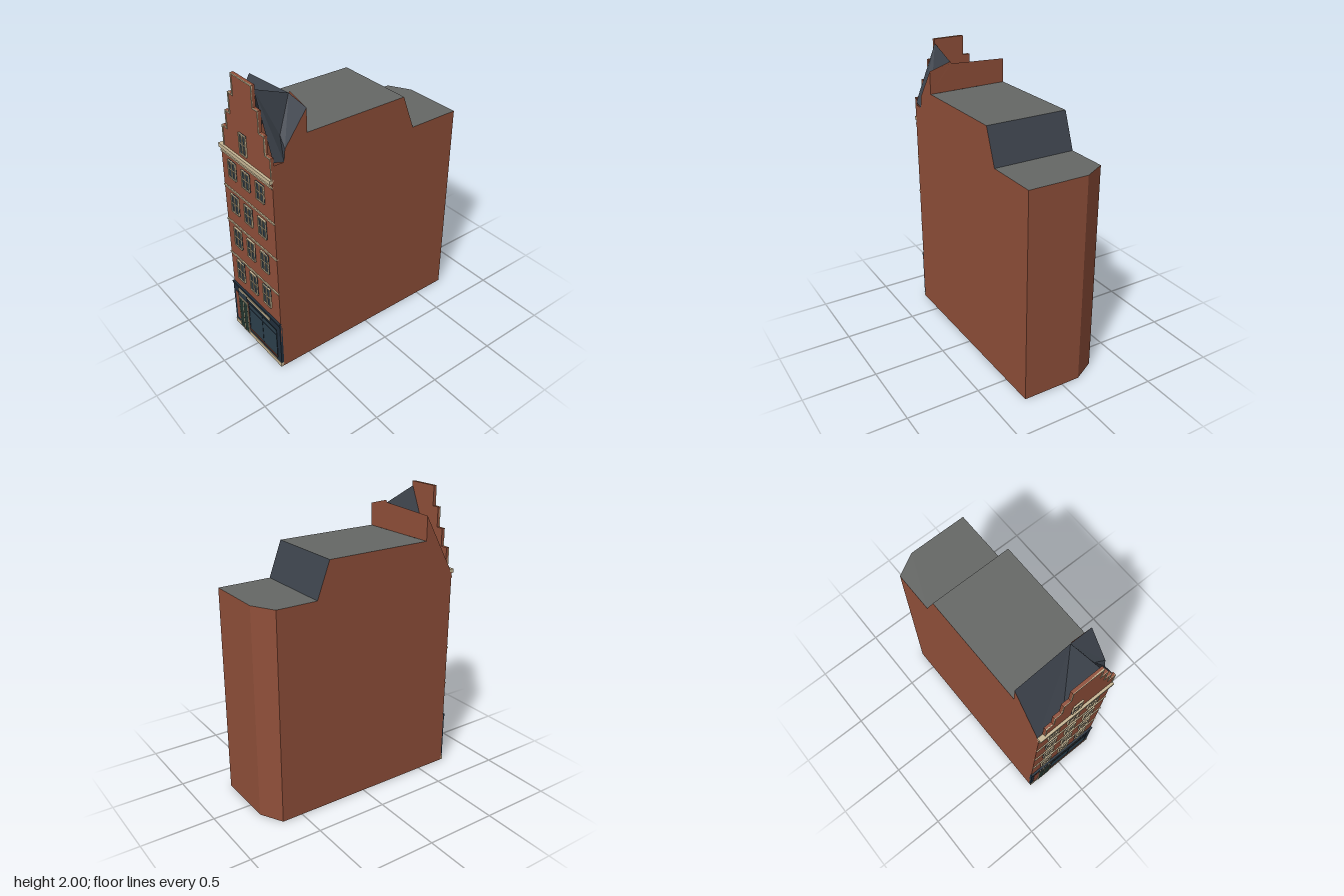
import * as THREE from 'three';

const mat = (color) => new THREE.MeshStandardMaterial({ color, flatShading: true, side: THREE.DoubleSide });
const M = {
  brick: mat(0x91503a), slate: mat(0x3c424b), flat: mat(0x666866), cream: mat(0xc9b896),
  glass: mat(0x2c3b46), navy: mat(0x22303d), green: mat(0x23362f), shopGlass: mat(0x2d414d), rust: mat(0x8a4a38),
};
const X = 0.285, FRONT = 0.715;

function add(parent, name, geometry, material) {
  const mesh = new THREE.Mesh(geometry, material);
  mesh.name = name;
  parent.add(mesh);
  return mesh;
}

// Box from its min and max corners
function box(parent, name, material, x0, x1, y0, y1, z0, z1) {
  const g = new THREE.BoxGeometry(x1 - x0, y1 - y0, z1 - z0);
  g.translate((x0 + x1) / 2, (y0 + y1) / 2, (z0 + z1) / 2);
  return add(parent, name, g, material);
}

// Flat convex face, corners counter-clockwise seen from outside
function face(parent, name, material, ...pts) {
  const pos = [];
  for (let i = 1; i < pts.length - 1; i++) pos.push(...pts[0], ...pts[i], ...pts[i + 1]);
  const g = new THREE.BufferGeometry();
  g.setAttribute('position', new THREE.Float32BufferAttribute(pos, 3));
  g.computeVertexNormals();
  return add(parent, name, g, material);
}

// Side wall from a [z, y] outline; side is +1 or -1
function sideWall(parent, name, side, outline) {
  const shape = new THREE.Shape(outline.map(([z, y]) => new THREE.Vector2(-side * z, y)));
  const g = new THREE.ShapeGeometry(shape);
  g.rotateY(side * Math.PI / 2).translate(side * X, 0, 0);
  return add(parent, name, g, M.brick);
}

// Framed window with one mullion and one crossbar
function windowUnit(parent, cx, y0, y1, w) {
  const g = new THREE.Group();
  g.name = 'window';
  parent.add(g);
  const a = cx - w / 2, b = cx + w / 2, t = 0.007, my = y0 + (y1 - y0) * 0.52;
  box(g, 'windowPane', M.glass, a, b, y0, y1, FRONT - 0.01, FRONT + 0.006);
  const bar = (x0, x1, ya, yb) => box(g, 'windowFrame', M.cream, x0, x1, ya, yb, FRONT - 0.005, FRONT + 0.012);
  bar(a, a + t, y0, y1);
  bar(b - t, b, y0, y1);
  bar(a, b, y0, y0 + t);
  bar(a, b, y1 - t, y1);
  bar(cx - 0.005, cx + 0.005, y0, y1);
  bar(a, b, my - 0.002, my + 0.002);
}

export function createModel() {
  const root = new THREE.Group();
  root.name = 'townhouse';

  // Brick walls, with one clipped rear corner
  const body = new THREE.Group();
  body.name = 'body';
  root.add(body);
  const LOW = 1.455, HIGH = 1.695;
  sideWall(body, 'leftWall', 1, [[-0.73, 0], [FRONT, 0], [FRONT, 1.47], [0.7, 1.56], [0.63, 1.56],
    [0.62, 1.64], [0.465, 1.85], [0.465, HIGH], [-0.27, HIGH], [-0.36, LOW], [-0.73, LOW]]);
  sideWall(body, 'rightWall', -1, [[-0.645, 0], [FRONT, 0], [FRONT, 1.47], [0.7, 1.47],
    [0.48, 1.86], [0.48, HIGH], [-0.27, HIGH], [-0.36, LOW], [-0.645, LOW]]);
  face(body, 'frontWall', M.brick, [-X, 0, FRONT], [X, 0, FRONT], [X, 1.47, FRONT], [-X, 1.47, FRONT]);
  face(body, 'backWall', M.brick, [X, 0, -0.73], [-0.13, 0, -0.73], [-0.13, LOW, -0.73], [X, LOW, -0.73]);
  face(body, 'clippedCorner', M.brick, [-0.13, 0, -0.73], [-X, 0, -0.645], [-X, LOW, -0.645], [-0.13, LOW, -0.73]);
  face(body, 'underside', M.brick, [-X, 0, -0.645], [-0.13, 0, -0.73], [X, 0, -0.73], [X, 0, FRONT], [-X, 0, FRONT]);

  // Flat rear roofs and the sloped step between them
  const roof = new THREE.Group();
  roof.name = 'roof';
  root.add(roof);
  face(roof, 'lowerFlatRoof', M.flat, [-X, LOW, -0.36], [X, LOW, -0.36], [X, LOW, -0.73], [-0.13, LOW, -0.73], [-X, LOW, -0.645]);
  face(roof, 'roofStep', M.slate, [X, LOW, -0.36], [-X, LOW, -0.36], [-X, HIGH, -0.27], [X, HIGH, -0.27]);
  face(roof, 'upperFlatRoof', M.flat, [-X, HIGH, 0.48], [X, HIGH, 0.465], [X, HIGH, -0.27], [-X, HIGH, -0.27]);

  // Front attic: rear brick wall, main slopes and the cross roof behind the gable
  const apex = [0.12, 1.88, 0.47], ridge = [0.125, 1.97, 0.7], valley = [0.21, 1.69, 0.6];
  face(roof, 'atticBackWall', M.brick, [0.12, HIGH, 0.47], [-X, HIGH, 0.48], [-X, 1.86, 0.48], apex);
  face(roof, 'atticBackWall', M.brick, [X, HIGH, 0.465], [0.12, HIGH, 0.47], apex, [0.13, 1.895, 0.47], [X, 1.85, 0.465]);
  face(roof, 'rightFrontSlope', M.slate, [-X, 1.47, 0.7], [-0.09, 1.49, 0.695], apex, [-X, 1.86, 0.48]);
  face(roof, 'crossRoofRight', M.slate, apex, [-0.09, 1.49, 0.695], ridge);
  face(roof, 'crossRoofLeft', M.slate, ridge, [X, 1.58, 0.7], [X, 1.56, 0.63], valley, apex);
  face(roof, 'leftFrontSlope', M.slate, apex, valley, [X, 1.64, 0.62], [X, 1.85, 0.465]);
  face(roof, 'leftSlopeEave', M.slate, valley, [X, 1.56, 0.63], [X, 1.64, 0.62]);

  // Stepped gable with pale edging
  const gable = new THREE.Group();
  gable.name = 'gable';
  root.add(gable);
  const C = 0.02, levels = [1.46, 1.61, 1.73, 1.865, 2.0], halves = [0.263, 0.21, 0.16, 0.11];
  const right = [], left = [];
  halves.forEach((h, i) => {
    right.push(new THREE.Vector2(C + h, levels[i]), new THREE.Vector2(C + h, levels[i + 1]));
    left.unshift(new THREE.Vector2(C - h, levels[i + 1]), new THREE.Vector2(C - h, levels[i]));
  });
  const wall = new THREE.ExtrudeGeometry(new THREE.Shape([...right, ...left]), { depth: 0.02, bevelEnabled: false });
  add(gable, 'gableWall', wall.translate(0, 0, 0.696), M.brick);
  const e = 0.008;
  halves.forEach((h, i) => {
    const inner = i < 3 ? halves[i + 1] : 0;
    for (const s of [-1, 1]) {
      const strip = (a, b, y0, y1) => box(gable, 'gableEdging', M.cream,
        C + Math.min(s * a, s * b), C + Math.max(s * a, s * b), y0, y1, 0.712, 0.72);
      strip(h - e, h, levels[i], levels[i + 1]);
      strip(inner - (i < 3 ? e : 0), h, levels[i + 1] - e, levels[i + 1]);
    }
  });

  // Cornice and string courses
  const facade = new THREE.Group();
  facade.name = 'facade';
  root.add(facade);
  box(facade, 'cornice', M.cream, -X, X, 1.443, 1.47, 0.7, 0.733);
  for (const y of [1.417, 1.165, 0.9, 0.626])
    box(facade, 'stringCourse', M.cream, -X, X, y - 0.006, y + 0.006, 0.705, 0.722);

  // Windows: four storeys of three, and one in the gable
  for (const [y0, y1] of [[0.45, 0.605], [0.73, 0.875], [1.0, 1.135], [1.26, 1.385]])
    for (const x of [-0.163, -0.007, 0.15]) windowUnit(facade, x, y0, y1, 0.085);
  windowUnit(facade, -0.007, 1.5, 1.642, 0.074);

  // Shopfront
  const shop = new THREE.Group();
  shop.name = 'shopfront';
  root.add(shop);
  box(shop, 'plinth', M.cream, -X, X, 0, 0.032, 0.705, 0.728);
  box(shop, 'shopSurround', M.navy, -X, X, 0.032, 0.375, 0.705, 0.724);
  box(shop, 'shopCornice', M.navy, -X, X, 0.36, 0.375, 0.705, 0.73);
  box(shop, 'brickPanel', M.rust, -0.26, -0.095, 0.055, 0.3, 0.71, 0.726);
  box(shop, 'signBoard', M.cream, -0.18, 0.17, 0.327, 0.349, 0.71, 0.729);
  box(shop, 'shopWindow', M.shopGlass, -0.09, 0.245, 0.065, 0.3, 0.71, 0.7255);
  box(shop, 'shopSill', M.rust, -0.1, 0.245, 0.055, 0.063, 0.71, 0.729);
  for (const x of [-0.094, 0.075, 0.243])
    box(shop, 'shopMullion', M.navy, x - 0.002, x + 0.002, 0.063, 0.3, 0.71, 0.7275);
  for (const y of [0.255, 0.3])
    box(shop, 'shopTransom', M.navy, -0.094, 0.245, y - 0.002, y + 0.002, 0.71, 0.7275);

  // Double door with a light above it
  box(shop, 'door', M.green, -0.21, -0.11, 0.01, 0.28, 0.71, 0.73);
  box(shop, 'doorLight', M.glass, -0.215, -0.107, 0.285, 0.345, 0.71, 0.731);
  for (const x of [-0.212, -0.161, -0.11])
    box(shop, 'doorFrame', M.cream, x - 0.003, x + 0.003, 0.01, 0.285, 0.71, 0.732);
  for (const y of [0.012, 0.279, 0.289, 0.345])
    box(shop, 'doorFrame', M.cream, -0.215, -0.107, y - 0.003, y + 0.003, 0.71, 0.732);

  return root;
}
